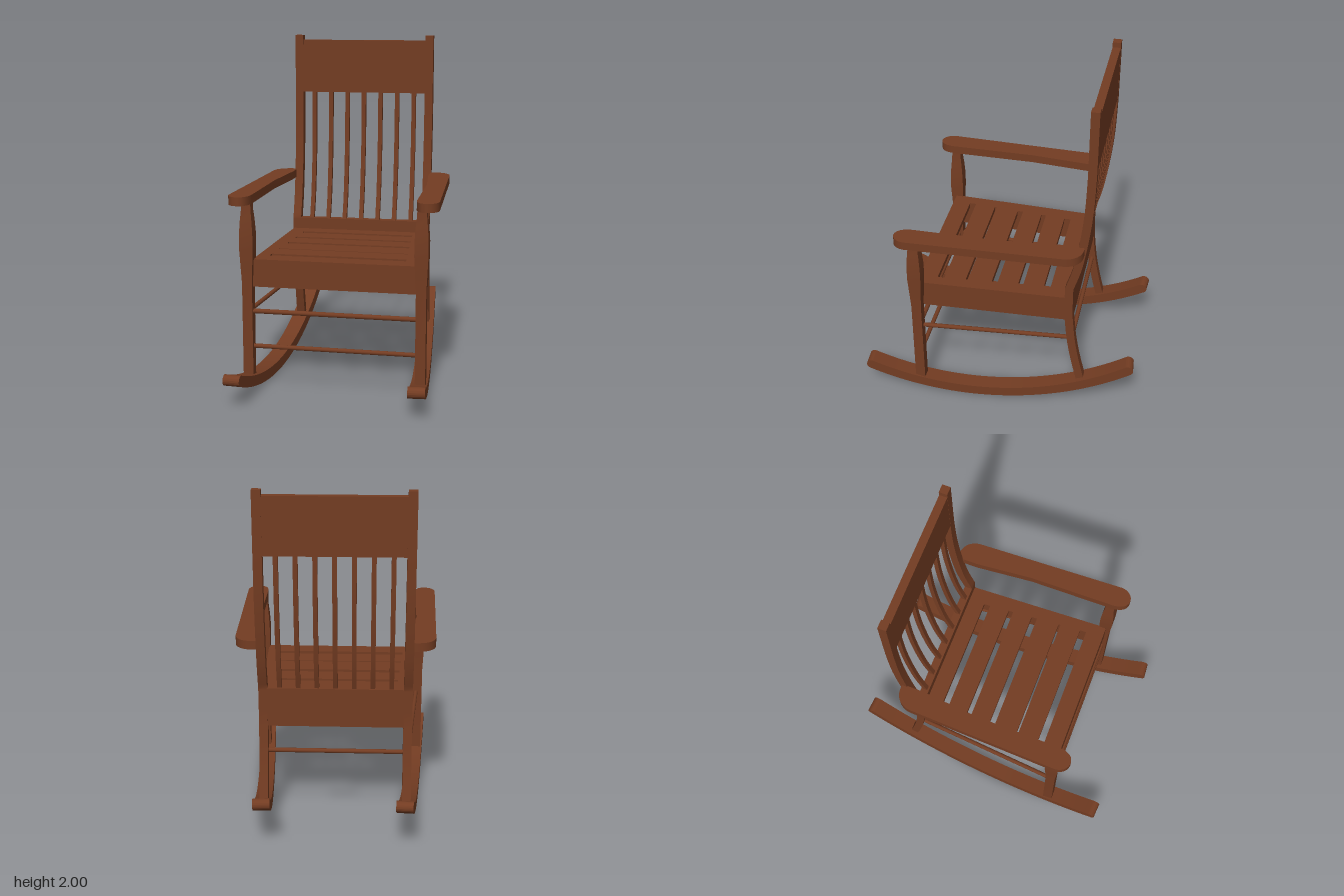
import * as THREE from 'three';
import { toCreasedNormals } from 'three/addons/utils/BufferGeometryUtils.js';

const wood = new THREE.MeshStandardMaterial({ color: 0x733c22 });
wood.name = 'brown wood';

export function createModel() {
  const chair = new THREE.Group();
  chair.name = 'rockingChair';

  const add = (name, geometry) => {
    const mesh = new THREE.Mesh(geometry, wood);
    mesh.name = name;
    chair.add(mesh);
    return mesh;
  };
  const box = (name, x0, x1, y0, y1, z0, z1) => add(name,
    new THREE.BoxGeometry(x1 - x0, y1 - y0, z1 - z0)
      .translate((x0 + x1) / 2, (y0 + y1) / 2, (z0 + z1) / 2));
  const outline = (pts) => new THREE.Shape(pts.map(([x, z]) => new THREE.Vector2(x, -z)));

  // Plan outline in x and z, raised from y0 to y1
  const slab = (shape, y0, y1) => toCreasedNormals(
    new THREE.ExtrudeGeometry(shape, { depth: y1 - y0, bevelEnabled: false, curveSegments: 12 })
      .rotateX(-Math.PI / 2).translate(0, y0, 0), 0.5);

  // Side outline in z and y, given a width across x
  const sidePiece = (shape, width) => toCreasedNormals(
    new THREE.ExtrudeGeometry(shape, { depth: width, bevelEnabled: false, curveSegments: 32 })
      .translate(0, 0, -width / 2).rotateY(-Math.PI / 2), 0.5);

  // Bent upright: curves of [z, y] points thickened along z
  const bentShape = (runs, thickness) => {
    const pts = runs.flatMap((run) =>
      new THREE.SplineCurve(run.map(([z, y]) => new THREE.Vector2(z, y))).getPoints(16));
    const edge = (d) => pts.map((p) => new THREE.Vector2(p.x + d, p.y));
    return new THREE.Shape([...edge(thickness / 2), ...edge(-thickness / 2).reverse()]);
  };

  // Round rod between two points
  const rod = (name, a, b, radius) => {
    const start = new THREE.Vector3(...a), end = new THREE.Vector3(...b);
    const mesh = add(name, new THREE.CylinderGeometry(radius, radius, start.distanceTo(end), 12));
    mesh.position.copy(start).add(end).multiplyScalar(0.5);
    mesh.quaternion.setFromUnitVectors(new THREE.Vector3(0, 1, 0), end.sub(start).normalize());
  };

  // Seat: tapered frame with a slotted top
  const corners = [[-0.465, 0.48], [0.465, 0.48], [0.43, -0.41], [-0.43, -0.41]];
  const frame = outline(corners);
  frame.holes.push(outline([[-0.4, 0.44], [0.4, 0.44], [0.37, -0.385], [-0.37, -0.385]]));
  add('seatFrame', slab(frame, 0.62, 0.75));
  const top = outline(corners);
  const slots = [[-0.29, -0.25], [-0.13, -0.1], [0.02, 0.055], [0.195, 0.207], [0.333, 0.373]];
  for (const [z0, z1] of slots) {
    const w = 0.367 + 0.075 * z0;
    top.holes.push(outline([[-w, z0], [w, z0], [w, z1], [-w, z1]]));
  }
  add('slattedSeat', slab(top, 0.75, 0.78));

  // Back: lower rail, head rail and bent spindles
  const upperBend = [[-0.41, 0.85], [-0.453, 1.0], [-0.485, 1.2], [-0.504, 1.4], [-0.511, 1.62]];
  const lowerBend = [[-0.495, 0.17], [-0.457, 0.33], [-0.43, 0.48], [-0.413, 0.64]];
  box('backLowerRail', -0.39, 0.39, 0.62, 0.85, -0.434, -0.386);
  box('headRail', -0.39, 0.39, 1.645, 1.97, -0.534, -0.488);
  const spindle = sidePiece(bentShape([upperBend, [[-0.511, 1.63], [-0.511, 1.66]]], 0.026), 0.026);
  for (let i = -3; i <= 3; i++) add('backSpindle', spindle).position.x = i * 0.1055;

  const post = sidePiece(bentShape(
    [lowerBend, [[-0.41, 0.7], [-0.41, 0.84]], upperBend, [[-0.511, 1.65], [-0.511, 2]]], 0.048), 0.05);

  // Front leg: square post with a swelling above the seat
  const legProfile = [[0.06, 0.029], [0.64, 0.029], [0.74, 0.034], [0.84, 0.039],
    [0.92, 0.039], [1.0, 0.034], [1.06, 0.028], [1.11, 0.026]];
  const legGeometry = new THREE.BoxGeometry(2, 1, 2, 1, legProfile.length - 1, 1);
  const p = legGeometry.attributes.position;
  for (let i = 0; i < p.count; i++) {
    const [y, r] = legProfile[Math.round((p.getY(i) + 0.5) * (legProfile.length - 1))];
    p.setXYZ(i, p.getX(i) * r, y, p.getZ(i) * r);
  }
  const leg = toCreasedNormals(legGeometry, 0.5);

  // Rocker: circular arc with rounded ends
  const R = 1.66, t = 0.031, cz = 0.13, cy = R + t;
  const frontAngle = -Math.PI / 2 + 0.4, backAngle = -Math.PI / 2 - 0.577;
  const rockerShape = new THREE.Shape();
  rockerShape.absarc(cz, cy, R + t, backAngle, frontAngle, false);
  rockerShape.absarc(cz + R * Math.cos(frontAngle), cy + R * Math.sin(frontAngle), t,
    frontAngle, frontAngle + Math.PI, false);
  rockerShape.absarc(cz, cy, R - t, frontAngle, backAngle, true);
  rockerShape.absarc(cz + R * Math.cos(backAngle), cy + R * Math.sin(backAngle), t,
    backAngle + Math.PI, backAngle + Math.PI * 2, false);
  const rocker = sidePiece(rockerShape, 0.095);

  for (const s of [-1, 1]) {
    const side = s > 0 ? 'left' : 'right';
    add(side + 'BackPost', post).position.x = s * 0.411;
    add(side + 'FrontLeg', leg).position.set(s * 0.495, 0, 0.474);
    const r = add(side + 'Rocker', rocker);
    r.position.x = s * 0.4525;
    r.rotation.y = s * 0.072;

    // Armrest: outer edge flares forward, rounded ends
    const arm = new THREE.Shape();
    arm.moveTo(s * 0.43, 0.487);
    arm.lineTo(s * 0.455, 0.487);
    arm.bezierCurveTo(s * 0.52, 0.487, s * 0.558, 0.44, s * 0.56, 0.385);
    arm.lineTo(s * 0.591, -0.5);
    arm.bezierCurveTo(s * 0.59, -0.545, s * 0.56, -0.578, s * 0.525, -0.577);
    arm.bezierCurveTo(s * 0.49, -0.575, s * 0.468, -0.545, s * 0.464, -0.49);
    arm.lineTo(s * 0.46, 0.02);
    arm.lineTo(s * 0.43, 0.36);
    arm.closePath();
    add(side + 'Armrest', slab(arm, 1.1, 1.15));

    rod(side + 'SideStretcher', [s * 0.487, 0.48, 0.47], [s * 0.415, 0.48, -0.43], 0.013);
  }

  // Cross stretchers
  rod('frontUpperStretcher', [-0.49, 0.475, 0.474], [0.49, 0.475, 0.474], 0.014);
  rod('frontLowerStretcher', [-0.49, 0.268, 0.474], [0.49, 0.268, 0.474], 0.013);
  rod('backStretcher', [-0.41, 0.468, -0.431], [0.41, 0.468, -0.431], 0.013);

  return chair;
}
